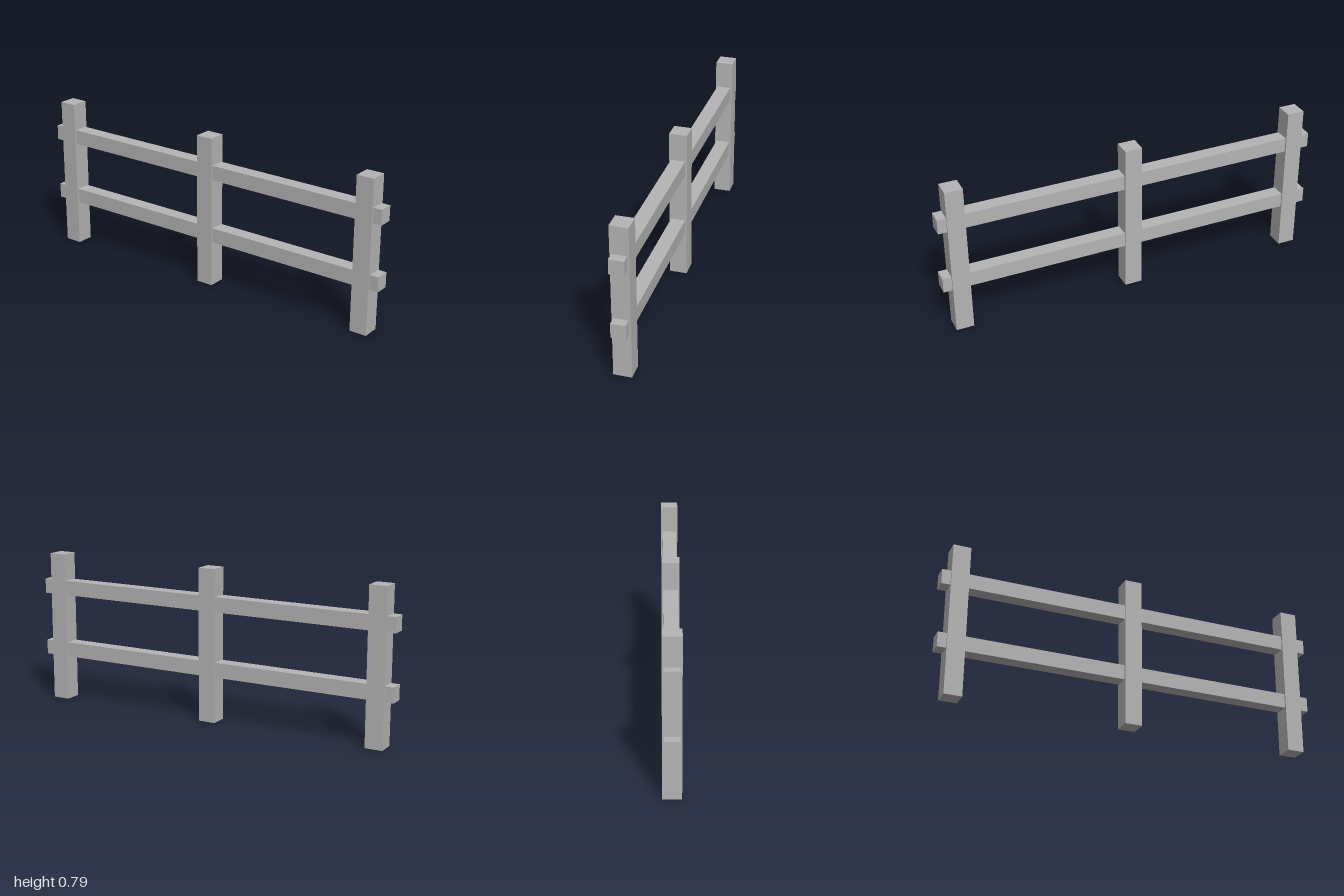
import * as THREE from 'three';

export function createModel() {
  const fence = new THREE.Group();
  fence.name = 'fence';
  const wood = new THREE.MeshStandardMaterial({ color: 0xb4b4b4 });
  wood.name = 'grey wood';

  const addBeam = (name, width, height, depth, x, y) => {
    const beam = new THREE.Mesh(new THREE.BoxGeometry(width, height, depth), wood);
    beam.name = name;
    beam.position.set(x, y, 0);
    fence.add(beam);
  };

  // Three upright posts standing on the ground
  const postHeight = 0.788;
  [['rightPost', -0.91], ['middlePost', 0], ['leftPost', 0.91]].forEach(([name, x]) =>
    addBeam(name, 0.09, postHeight, 0.09, x, postHeight / 2));

  // Two long rails running through the posts
  [['lowerRail', 0.274], ['upperRail', 0.608]].forEach(([name, y]) =>
    addBeam(name, 2, 0.077, 0.073, 0, y));

  return fence;
}
